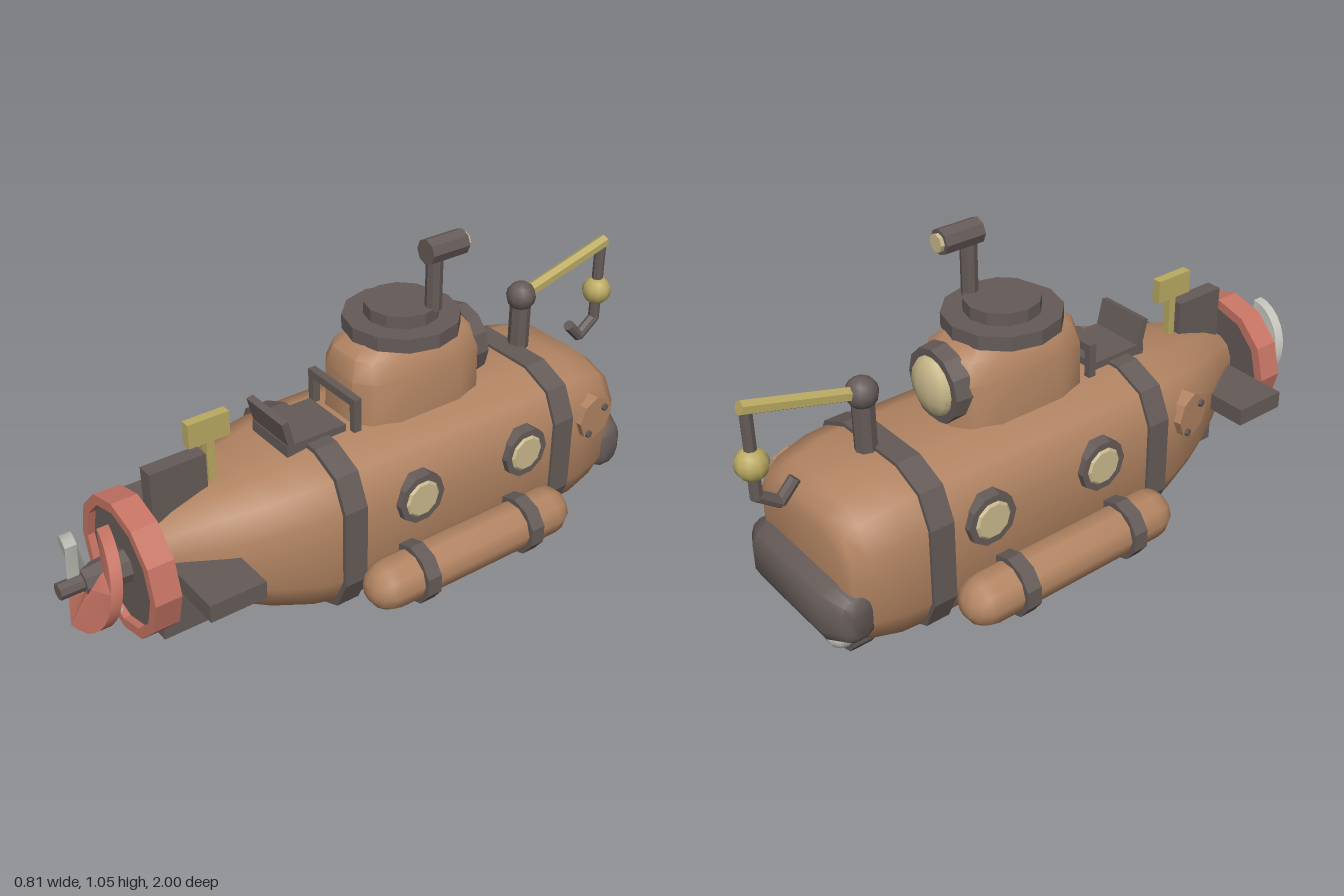
import * as THREE from 'three';
import { toCreasedNormals } from 'three/addons/utils/BufferGeometryUtils.js';

const paint = (name, color) => Object.assign(new THREE.MeshStandardMaterial({ color }), { name });
const V = (x, y, z) => new THREE.Vector3(x, y, z);

export function createModel() {
  const model = new THREE.Group();
  model.name = 'submarine';
  const copper = paint('copper', 0xb28462), iron = paint('iron', 0x655b58);
  const red = paint('red', 0xc67464), brass = paint('brass', 0xbaaa62);
  const glass = paint('glass', 0xcab98c), pale = paint('paleMetal', 0xc4c4bc);

  const add = (name, geo, mat, crease = 0.4) => {
    const mesh = new THREE.Mesh(toCreasedNormals(geo, crease), mat);
    mesh.name = name;
    model.add(mesh);
    return mesh;
  };
  const box = (name, mat, w, h, d, x, y, z) => {
    const m = add(name, new THREE.BoxGeometry(w, h, d), mat);
    m.position.set(x, y, z);
    return m;
  };
  const ball = (name, mat, r, x, y, z) => {
    const m = add(name, new THREE.SphereGeometry(r, 10, 8), mat, 0.9);
    m.position.set(x, y, z);
    return m;
  };
  // Round bar from a to b
  const bar = (name, mat, a, b, r, r2 = r, sides = 8, crease = 0.4) => {
    const dir = b.clone().sub(a);
    const m = add(name, new THREE.CylinderGeometry(r2, r, dir.length(), sides), mat, crease);
    m.position.copy(a).add(b).multiplyScalar(0.5);
    m.quaternion.setFromUnitVectors(V(0, 1, 0), dir.normalize());
    return m;
  };
  // Closed skin over rounded-square sections [along z, centre y, half width, half height, roundness]
  const loft = (sections) => {
    const n = 12, pos = [], idx = [];
    const pw = (v, e) => Math.sign(v) * Math.abs(v) ** e;
    for (const [z, cy, rx, ry, e = 0.57] of sections) {
      for (let j = 0; j < n; j++) {
        const a = (j + 0.5) / n * Math.PI * 2;
        pos.push(rx * pw(Math.cos(a), e), cy + ry * pw(Math.sin(a), e), z);
      }
    }
    const last = sections.length - 1;
    for (let i = 0; i < last; i++) {
      for (let j = 0; j < n; j++) {
        const a = i * n + j, b = i * n + (j + 1) % n;
        idx.push(a, b, b + n, a, b + n, a + n);
      }
    }
    for (let j = 1; j < n - 1; j++) {
      idx.push(0, j + 1, j, last * n, last * n + j, last * n + j + 1);
    }
    const g = new THREE.BufferGeometry();
    g.setAttribute('position', new THREE.Float32BufferAttribute(pos, 3));
    g.setIndex(idx);
    return g;
  };

  // Hull and its two bands
  add('hull', loft([
    [-0.84, 0.29, 0.2, 0.14], [-0.825, 0.285, 0.235, 0.185], [-0.78, 0.28, 0.25, 0.23],
    [-0.68, 0.28, 0.266, 0.258], [-0.57, 0.28, 0.272, 0.262], [0.22, 0.28, 0.272, 0.262],
    [0.33, 0.285, 0.258, 0.242], [0.45, 0.293, 0.226, 0.214, 0.62], [0.56, 0.303, 0.178, 0.18, 0.7],
    [0.66, 0.312, 0.12, 0.138, 0.8], [0.74, 0.318, 0.075, 0.09, 0.9],
  ]), copper, 0.9);
  for (const z of [-0.57, 0.218]) {
    add('hullBand', loft([[z - 0.038, 0.28, 0.282, 0.272], [z + 0.038, 0.28, 0.282, 0.272]]), iron);
  }

  // Conning tower with stepped hatch
  add('conningTower', loft([
    [0.5, 0.15, 0.142, 0.238], [0.67, 0.15, 0.142, 0.234],
    [0.73, 0.15, 0.118, 0.215], [0.762, 0.15, 0.09, 0.17],
  ]).rotateX(-Math.PI / 2), copper, 0.7);
  bar('hatchRim', iron, V(0, 0.758, -0.145), V(0, 0.802, -0.145), 0.175, 0.175, 12);
  bar('hatchLid', iron, V(0, 0.8, -0.145), V(0, 0.84, -0.145), 0.112, 0.112, 12);

  // Periscope
  bar('periscopePost', iron, V(0.083, 0.83, -0.195), V(0.083, 1.02, -0.195), 0.025);
  bar('periscopeHead', iron, V(0.083, 1.015, -0.162), V(0.083, 1.015, -0.292), 0.038);
  bar('periscopeLens', glass, V(0.083, 1.015, -0.29), V(0.083, 1.015, -0.304), 0.027);

  // Tower window
  bar('windowRim', iron, V(0, 0.642, -0.34), V(0, 0.642, -0.392), 0.118, 0.112, 12);
  ball('windowDome', glass, 1, 0, 0.642, -0.388).scale.set(0.09, 0.09, 0.042);

  // Rail and equipment locker behind the tower
  for (const s of [-1, 1]) box('railPost', iron, 0.022, 0.13, 0.025, s * 0.103, 0.575, 0.095);
  box('railTop', iron, 0.23, 0.025, 0.025, 0, 0.632, 0.095);
  box('deckLocker', iron, 0.18, 0.05, 0.2, 0, 0.535, 0.22);
  box('lockerBack', iron, 0.18, 0.1, 0.022, 0, 0.59, 0.313).rotation.x = 0.25;

  // Tail fins and brass marker
  box('verticalFin', iron, 0.05, 0.57, 0.175, 0, 0.305, 0.628);
  box('horizontalFin', iron, 0.62, 0.055, 0.175, 0, 0.307, 0.628);
  box('markerPost', brass, 0.025, 0.16, 0.025, 0, 0.55, 0.517);
  box('markerPlate', brass, 0.03, 0.075, 0.13, 0, 0.653, 0.52);

  // Propeller guard, backing disc and hub
  const py = 0.317;
  const guard = [[0.18, -0.04], [0.211, -0.04], [0.211, 0.04], [0.18, 0.04], [0.18, -0.04]];
  const ring = add('propellerGuard', new THREE.LatheGeometry(guard.map(p => new THREE.Vector2(...p)), 12), red);
  ring.rotation.x = Math.PI / 2;
  ring.position.set(0, py, 0.782);
  bar('guardDisc', iron, V(0, py, 0.75), V(0, py, 0.8), 0.184, 0.184, 12);
  bar('propellerHub', iron, V(0, py, 0.79), V(0, py, 0.93), 0.052, 0.04);
  bar('propellerShaft', iron, V(0, py, 0.92), V(0, py, 1.0), 0.025);

  // Two half-turn screw blades
  const sweep = 1.68;
  const bladeShape = new THREE.Shape();
  bladeShape.absarc(0, 0, 0.14, -sweep, sweep, false);
  bladeShape.absarc(0, 0, 0.03, sweep, -sweep, true);
  for (const [i, mat] of [red, pale].entries()) {
    const g = new THREE.ExtrudeGeometry(bladeShape, { depth: 0.035, bevelEnabled: false, curveSegments: 7 });
    const p = g.attributes.position;
    for (let k = 0; k < p.count; k++) {
      p.setZ(k, p.getZ(k) + 0.882 - Math.atan2(p.getY(k), p.getX(k)) * 0.032);
    }
    g.rotateZ(i * Math.PI);
    add('propellerBlade', g, mat).position.y = py;
  }

  // Side tanks with straps, and portholes
  for (const s of [-1, 1]) {
    const x = s * 0.318;
    const tank = add('sideTank', new THREE.CapsuleGeometry(0.078, 0.6, 4, 10), copper, 0.9);
    tank.rotation.x = Math.PI / 2;
    tank.position.set(x, 0.138, -0.167);
    for (const z of [0.035, -0.365]) {
      bar('tankStrap', iron, V(x, 0.138, z - 0.024), V(x, 0.138, z + 0.024), 0.094, 0.094, 10);
    }
    for (const z of [-0.01, -0.41]) {
      bar('portholeRim', iron, V(s * 0.235, 0.358, z), V(s * 0.286, 0.358, z), 0.085, 0.08, 10);
      bar('portholeGlass', glass, V(s * 0.284, 0.358, z), V(s * 0.292, 0.358, z), 0.062, 0.052, 10);
    }
  }

  // Bolted repair patches: one on each side
  for (const [s, x, z, turn] of [[1, 0.258, -0.71, 0.08], [-1, 0.248, 0.37, 0.2]]) {
    const patch = new THREE.Group();
    patch.name = 'repairPatch';
    const plate = bar('patchPlate', copper, V(-0.03, 0, 0), V(0.018, 0, 0), 0.072);
    patch.add(plate);
    for (const [y, dz] of [[-0.045, 0.035], [0.027, -0.032]]) {
      patch.add(bar('patchBolt', iron, V(0.01, y, dz), V(0.028, y, dz), 0.012, 0.012, 6));
    }
    patch.position.set(x * s, 0.368, z);
    patch.rotation.y = s > 0 ? turn : Math.PI + turn;
    model.add(patch);
  }

  // Bow bumper
  add('bumper', loft([
    [-0.25, 0.2, 0.03, 0.05, 0.7], [-0.235, 0.2, 0.052, 0.072, 0.7], [-0.17, 0.2, 0.085, 0.094, 0.7],
    [0.17, 0.2, 0.085, 0.094, 0.7], [0.235, 0.2, 0.052, 0.072, 0.7], [0.25, 0.2, 0.03, 0.05, 0.7],
  ]).rotateY(Math.PI / 2), iron, 0.7).position.z = -0.82;

  // Headlamps
  for (const s of [-1, 1]) {
    bar('lampHousing', iron, V(s * 0.108, 0.05, -0.73), V(s * 0.108, 0.05, -0.8), 0.05, 0.05, 10);
    ball('lamp', pale, 0.048, s * 0.108, 0.07, -0.808);
  }

  // Crane with hanging hook
  bar('cranePost', iron, V(0, 0.5, -0.617), V(0, 0.71, -0.617), 0.033);
  ball('craneJoint', iron, 0.047, 0, 0.71, -0.617);
  bar('craneBoom', brass, V(0, 0.712, -0.63), V(0, 0.802, -0.968), 0.021, 0.021, 6);
  bar('craneCable', iron, V(0, 0.79, -0.952), V(0, 0.525, -0.952), 0.018);
  ball('cableWeight', brass, 0.047, 0, 0.63, -0.953);
  bar('hookBase', iron, V(0, 0.535, -0.957), V(0, 0.48, -0.885), 0.018);
  bar('hookTip', iron, V(0, 0.48, -0.89), V(0, 0.535, -0.838), 0.018);
  return model;
}
